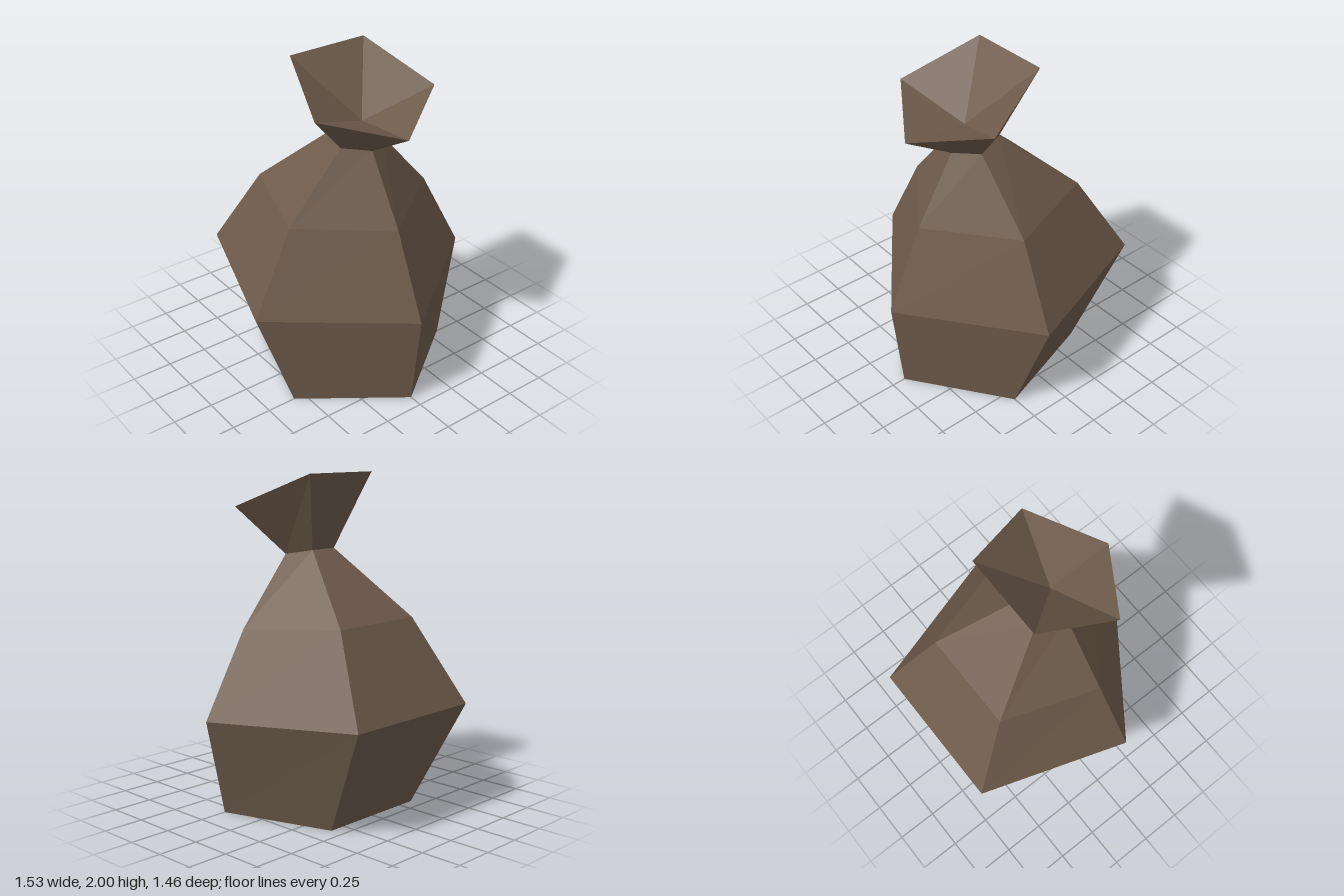
import * as THREE from 'three';

const SIDES = 5;

// Pentagon ring, one corner to the front, tilted so that y runs from frontY to backY
function ring({ r, front, back, frontY, backY }) {
  const rz = (front - back) / (1 + Math.cos(Math.PI / SIDES));
  return Array.from({ length: SIDES }, (_, i) => {
    const a = (i / SIDES) * Math.PI * 2;
    const z = front - rz + rz * Math.cos(a);
    const y = frontY + (backY - frontY) * (front - z) / (front - back);
    return [r * Math.sin(a), y, z];
  });
}

// Skin of quads between successive rings
function loft(rings) {
  const out = [];
  for (let k = 0; k < rings.length - 1; k++) {
    for (let i = 0; i < SIDES; i++) {
      const j = (i + 1) % SIDES, lo = rings[k], hi = rings[k + 1];
      out.push(lo[i], lo[j], hi[j], lo[i], hi[j], hi[i]);
    }
  }
  return out;
}

// Triangle fan from a centre point to a ring
function fan(centre, pts, up) {
  return pts.flatMap((p, i) => {
    const q = pts[(i + 1) % SIDES];
    return up ? [centre, p, q] : [centre, q, p];
  });
}

function makeMesh(name, points, material) {
  const geometry = new THREE.BufferGeometry();
  geometry.setAttribute('position', new THREE.Float32BufferAttribute(points.flat(), 3));
  geometry.computeVertexNormals();
  const mesh = new THREE.Mesh(geometry, material);
  mesh.name = name;
  return mesh;
}

export function createModel() {
  const group = new THREE.Group();
  group.name = 'tiedSack';
  const cloth = new THREE.MeshStandardMaterial({ color: 0x6e5b4b, flatShading: true });
  cloth.name = 'brown cloth';

  const base = ring({ r: 0.6, front: 0.665, back: -0.42, frontY: 0, backY: 0 });
  const belly = ring({ r: 0.805, front: 0.73, back: -0.73, frontY: 0.58, backY: 0.65 });
  const shoulder = ring({ r: 0.525, front: 0.505, back: -0.445, frontY: 1.09, backY: 1.155 });
  const neck = ring({ r: 0.153, front: 0.26, back: -0.015, frontY: 1.5, backY: 1.55 });
  const rim = ring({ r: 0.44, front: 0.57, back: -0.16, frontY: 1.685, backY: 2 });

  // Bulging body with a flat underside
  group.add(makeMesh('body', [...loft([base, belly, shoulder, neck]), ...fan([0, 0, 0.065], base, false)], cloth));
  // Flared mouth above the tie
  group.add(makeMesh('mouth', loft([neck, rim]), cloth));
  // Hollow inside the mouth
  group.add(makeMesh('mouthHollow', fan([0, 1.65, 0.16], rim, true), cloth));
  return group;
}
